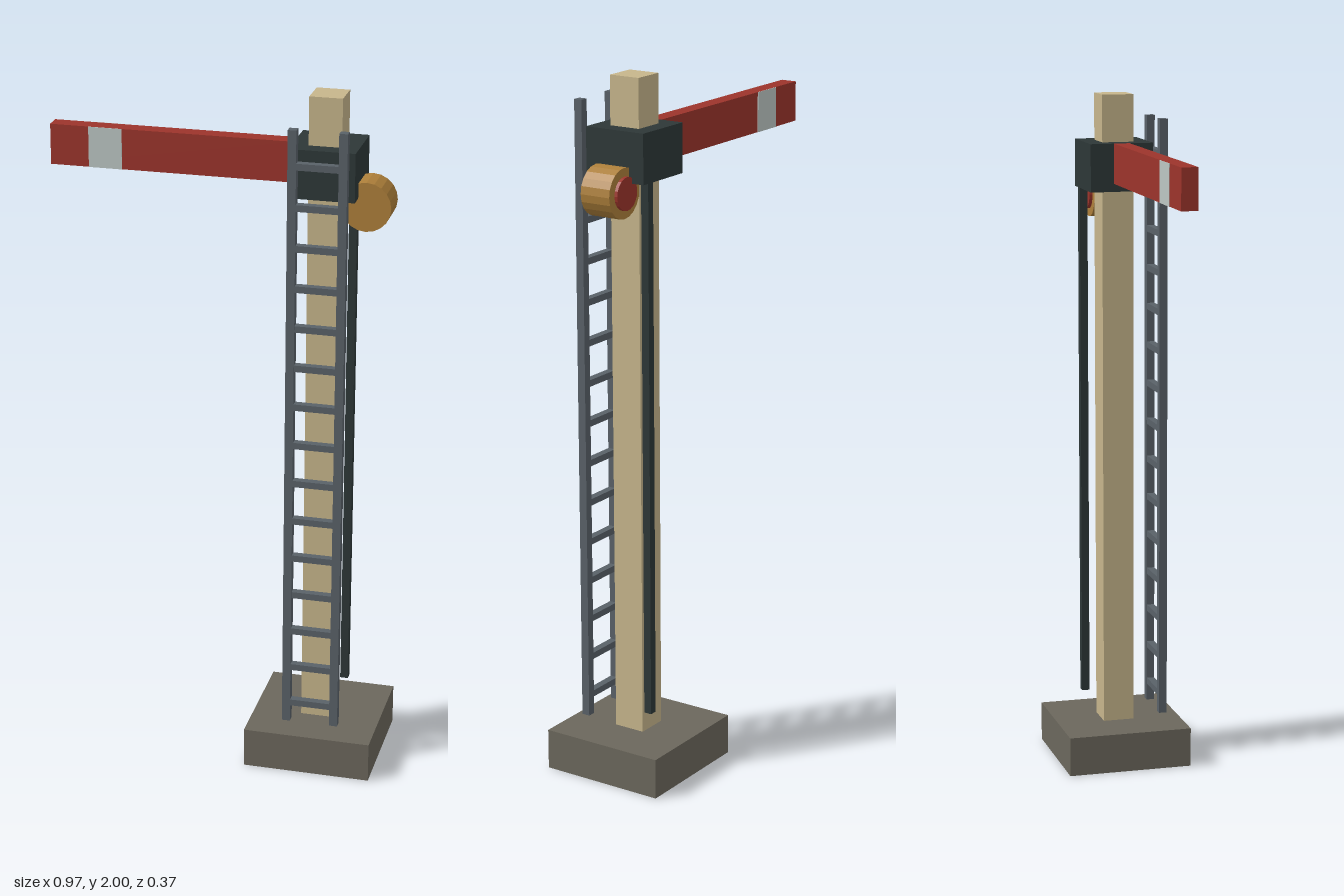
import * as THREE from 'three';

const mat = (name, color) => {
  const m = new THREE.MeshStandardMaterial({ color });
  m.name = name;
  return m;
};

export function createModel() {
  const stone = mat('stone', 0x6b675c);
  const timber = mat('timber', 0xc6b58b);
  const iron = mat('darkIron', 0x2d3737);
  const steel = mat('ladderSteel', 0x596168);
  const red = mat('signalRed', 0x9c342b);
  const white = mat('bandWhite', 0xbcc6c3);
  const brass = mat('brass', 0xad7f3a);

  const model = new THREE.Group();
  model.name = 'semaphoreSignal';

  // Box given by its minimum and maximum corners
  const box = (name, material, [x0, y0, z0], [x1, y1, z1], parent = model) => {
    const mesh = new THREE.Mesh(new THREE.BoxGeometry(x1 - x0, y1 - y0, z1 - z0), material);
    mesh.position.set((x0 + x1) / 2, (y0 + y1) / 2, (z0 + z1) / 2);
    mesh.name = name;
    parent.add(mesh);
    return mesh;
  };

  // Faceted disc with its axis along z
  const disc = (name, material, radius, z0, z1, parent) => {
    const geometry = new THREE.CylinderGeometry(radius, radius, z1 - z0, 20).rotateX(Math.PI / 2).toNonIndexed();
    geometry.computeVertexNormals();
    const mesh = new THREE.Mesh(geometry, material);
    mesh.position.z = (z0 + z1) / 2;
    mesh.name = name;
    parent.add(mesh);
  };

  // Base, post and bracket box
  box('base', stone, [0.115, 0, -0.186], [0.487, 0.117, 0.186]);
  box('post', timber, [0.255, 0.117, -0.0465], [0.348, 2, 0.0465]);
  box('bracketBox', iron, [0.208, 1.724, -0.093], [0.395, 1.863, 0.093]);

  // Signal arm with a pale band on both faces
  const arm = new THREE.Group();
  arm.name = 'signalArm';
  model.add(arm);
  box('armBlade', red, [-0.487, 1.747, -0.0235], [0.215, 1.863, 0.0235], arm);
  for (const side of [-1, 1]) {
    const z = [side * 0.0235, side * 0.0255].sort((a, b) => a - b);
    box('armBand', white, [-0.376, 1.747, z[0]], [-0.28, 1.863, z[1]], arm);
  }

  // Lamp with a red lens on the back
  const lamp = new THREE.Group();
  lamp.name = 'lamp';
  lamp.position.set(0.417, 1.7, 0);
  model.add(lamp);
  disc('lampBody', brass, 0.07, -0.0465, 0.0465, lamp);
  disc('lampLens', red, 0.046, -0.056, -0.0465, lamp);

  // Operating rod behind the post
  box('operatingRod', iron, [0.347, 0.19, -0.091], [0.37, 1.74, -0.068]);

  // Ladder: two rails and evenly spaced rungs
  const ladder = new THREE.Group();
  ladder.name = 'ladder';
  model.add(ladder);
  for (const x of [0.23, 0.371]) {
    box('ladderRail', steel, [x - 0.012, 0.14, 0.116], [x + 0.012, 1.93, 0.14], ladder);
  }
  for (let i = 0; i < 15; i++) {
    const y = 0.2 + i * 0.1163;
    box('ladderRung', steel, [0.242, y - 0.0095, 0.117], [0.359, y + 0.0095, 0.139], ladder);
  }

  return model;
}
